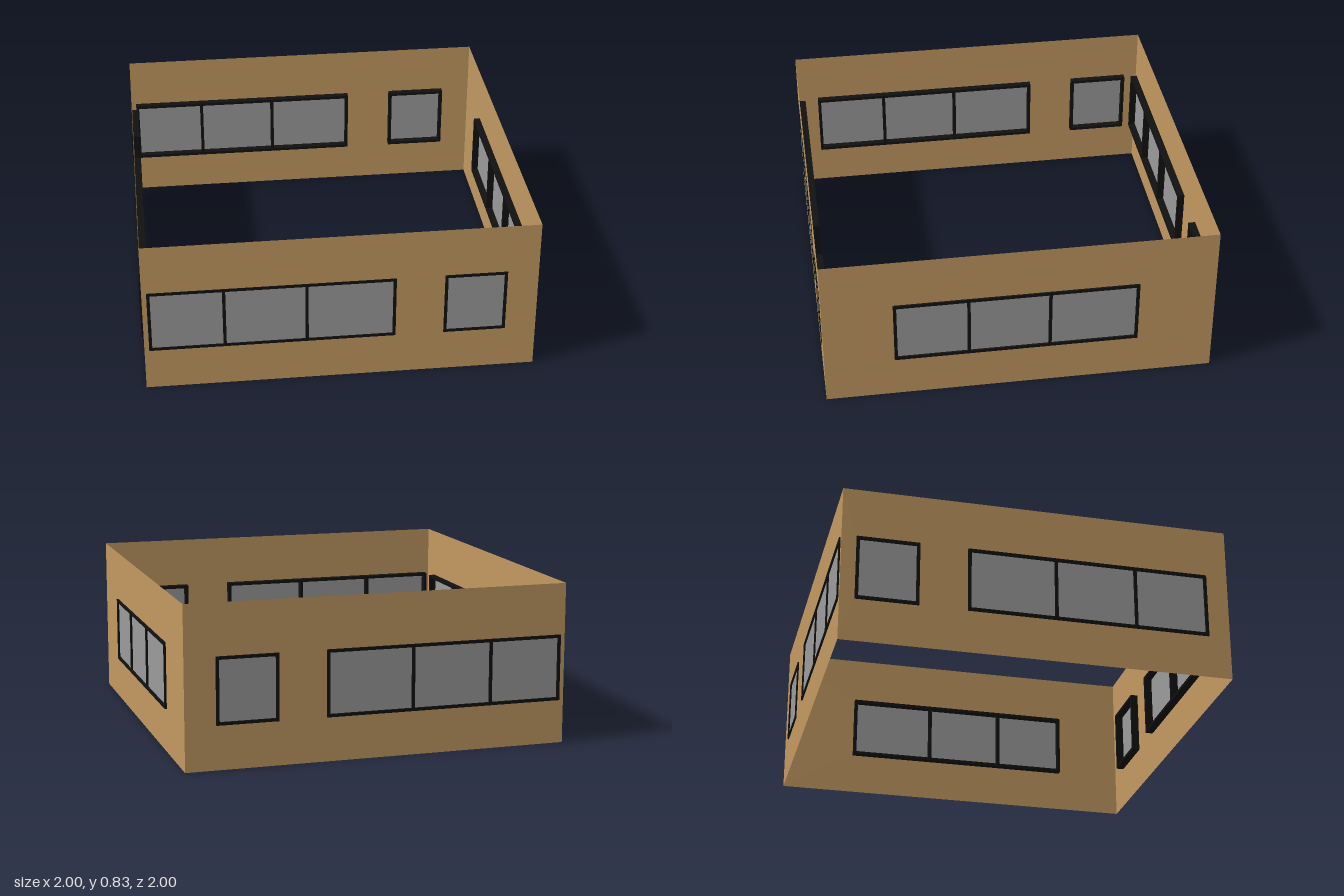
import * as THREE from 'three';

const wallMat = new THREE.MeshStandardMaterial({ color: 0xc49a62, side: THREE.DoubleSide });
const frameMat = new THREE.MeshStandardMaterial({ color: 0x111111 });
const glassMat = new THREE.MeshStandardMaterial({ color: 0x9c9c9c, side: THREE.DoubleSide });

const HEIGHT = 0.83;
const Y0 = 0.225, Y1 = 0.566;   // window sill and head
const OUTER = 1, DEPTH = 0.044; // frame outer face and depth
const BAR = 0.016;              // frame bar width

function rect(target, x0, x1, y0, y1) {
  target.moveTo(x0, y0);
  target.lineTo(x1, y0);
  target.lineTo(x1, y1);
  target.lineTo(x0, y1);
  target.closePath();
  return target;
}

function add(parent, name, geometry, material, z) {
  const mesh = new THREE.Mesh(geometry, material);
  mesh.name = name;
  mesh.position.z = z;
  parent.add(mesh);
}

// edges: left side, mullion centres, right side (along the wall, seen from outside)
function makeWindow(edges, wallZ) {
  const group = new THREE.Group();
  group.name = edges.length > 2 ? 'tripleWindow' : 'singleWindow';
  const last = edges.length - 1;
  const frame = rect(new THREE.Shape(), edges[0], edges[last], Y0, Y1);
  for (let i = 0; i < last; i++) {
    const a = edges[i] + (i === 0 ? BAR : BAR / 2);
    const b = edges[i + 1] - (i + 1 === last ? BAR : BAR / 2);
    frame.holes.push(rect(new THREE.Path(), a, b, Y0 + BAR, Y1 - BAR));
  }
  add(group, 'windowFrame',
    new THREE.ExtrudeGeometry(frame, { depth: DEPTH, bevelEnabled: false }), frameMat, OUTER - DEPTH);
  const h = BAR / 2;
  const pane = rect(new THREE.Shape(), edges[0] + h, edges[last] - h, Y0 + h, Y1 - h);
  add(group, 'glass', new THREE.ShapeGeometry(pane), glassMat, wallZ);
  return group;
}

// Thin wall with cut openings, built facing +z and then turned into place
function makeWall({ name, turn, z, from, to, windows }) {
  const group = new THREE.Group();
  group.name = name;
  const shape = rect(new THREE.Shape(), from, to, 0, HEIGHT);
  const h = BAR / 2;
  for (const e of windows) {
    shape.holes.push(rect(new THREE.Path(), e[0] + h, e[e.length - 1] - h, Y0 + h, Y1 - h));
    group.add(makeWindow(e, z));
  }
  add(group, 'wallPanel', new THREE.ShapeGeometry(shape), wallMat, z);
  group.rotation.y = turn * Math.PI / 2;
  return group;
}

export function createModel() {
  const model = new THREE.Group();
  model.name = 'windowedWalls';
  const walls = [
    { name: 'frontWall', turn: 0, z: 0.997, from: -0.99, to: 0.99,
      windows: [[-0.966, -0.587, -0.175, 0.273], [0.517, 0.833]] },
    { name: 'rightWall', turn: 1, z: 0.99, from: -0.997, to: 0.992,
      windows: [[-0.643, -0.265, 0.147, 0.599]] },
    { name: 'backWall', turn: 2, z: 0.992, from: -0.99, to: 0.99,
      windows: [[-0.273, 0.175, 0.587, 0.966], [-0.833, -0.517]] },
    { name: 'leftWall', turn: 3, z: 0.99, from: -0.992, to: 0.997,
      windows: [[-0.357, 0.093, 0.505, 0.884], [-0.917, -0.6]] },
  ];
  for (const w of walls) model.add(makeWall(w));
  return model;
}
